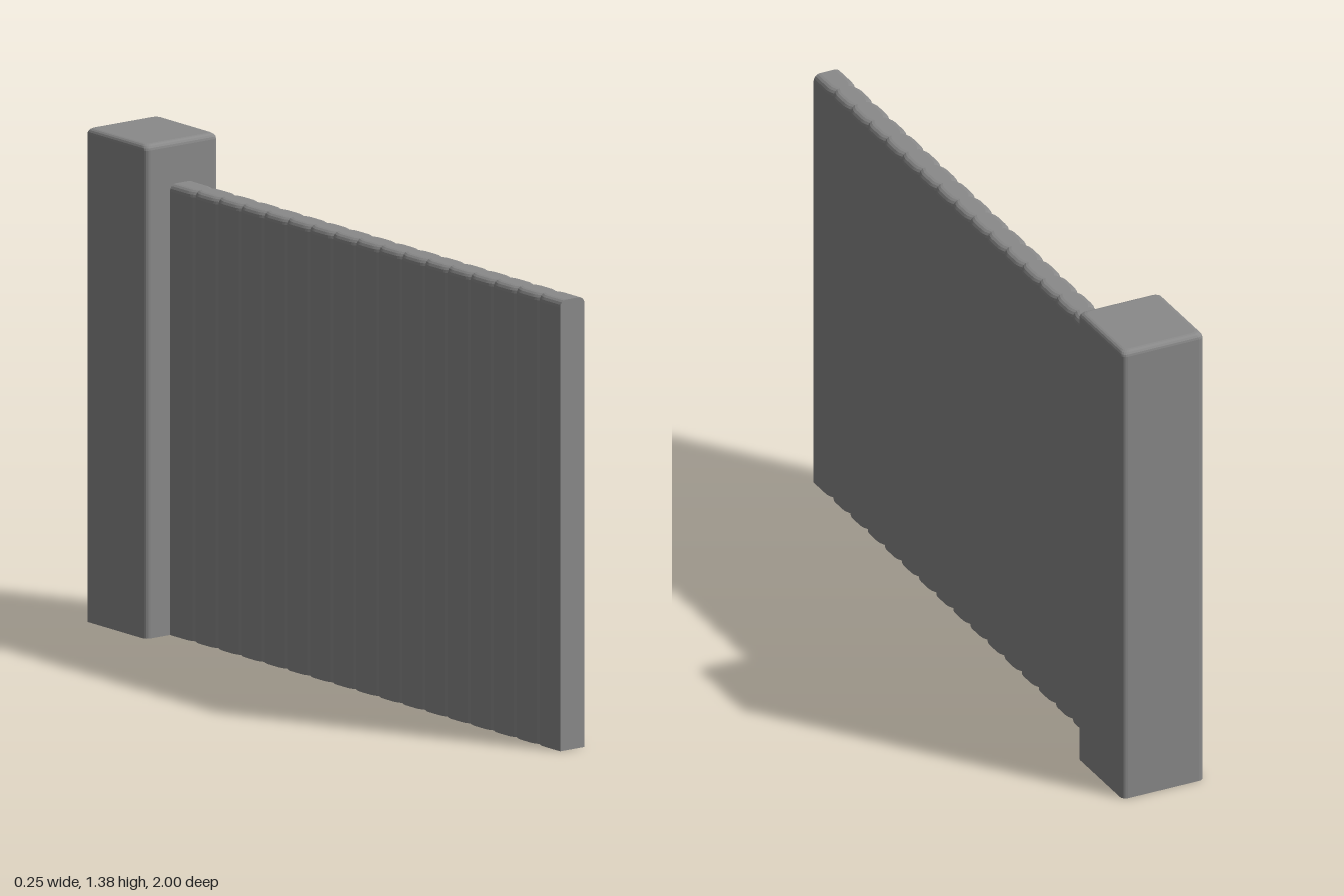
import * as THREE from 'three';

const material = new THREE.MeshStandardMaterial({ color: 0x8a8a8a });

// Raises a plan outline (x, -z) through height levels [y, inset];
// the inset pulls the sides in along x, and along z too if insetEnds is set.
function raisePlan(name, points, levels, insetEnds) {
  const steps = levels.length - 1;
  const geometry = new THREE.ExtrudeGeometry(new THREE.Shape(points), {
    depth: steps, steps, bevelEnabled: false,
  });
  geometry.rotateX(-Math.PI / 2);
  const pos = geometry.attributes.position;
  for (let i = 0; i < pos.count; i++) {
    const [y, inset] = levels[Math.round(pos.getY(i))];
    const x = pos.getX(i), z = pos.getZ(i);
    pos.setXYZ(i, x - Math.sign(x) * inset, y, insetEnds ? z - Math.sign(z) * inset : z);
  }
  // Flat faces meet narrow bevel facets
  geometry.computeVertexNormals();
  const mesh = new THREE.Mesh(geometry, material);
  mesh.name = name;
  return mesh;
}

// Levels for straight sides with a rounded top edge
function roundedTop(height, radius) {
  const levels = [[0, 0]];
  for (let i = 0; i <= 4; i++) {
    const a = (i / 4) * Math.PI / 2;
    levels.push([height - radius + radius * Math.sin(a), radius * (1 - Math.cos(a))]);
  }
  return levels;
}

// Square post with softened upright edges
function makePost() {
  const hx = 0.125, hz = 0.135, r = 0.016, points = [];
  [[1, 1], [-1, 1], [-1, -1], [1, -1]].forEach(([sx, sy], corner) => {
    for (let i = 0; i <= 4; i++) {
      const a = (corner + i / 4) * Math.PI / 2;
      points.push(new THREE.Vector2(
        sx * (hx - r) + r * Math.cos(a), sy * (hz - r) + r * Math.sin(a)));
    }
  });
  const post = raisePlan('post', points, roundedTop(1.38, r), true);
  post.position.z = -0.865;
  return post;
}

// Wall of upright boards, their edges curving in to a shallow groove at every seam
function makeBoardWall() {
  const boards = 17, start = -0.74, end = 1, pitch = 1.73 / boards;
  const half = 0.042, groove = 0.009, curve = 0.03;
  const side = [[half, end]];
  for (let b = 1; b < boards; b++) {
    for (let i = -4; i <= 4; i++) {
      const t = 1 - Math.abs(i) / 4;
      side.push([half - groove * t * t, end - b * pitch - (i / 4) * curve]);
    }
  }
  side.push([half, start]);
  const points = [
    ...side.map(([x, z]) => new THREE.Vector2(x, -z)),
    ...side.reverse().map(([x, z]) => new THREE.Vector2(-x, -z)),
  ];
  return raisePlan('boardWall', points, roundedTop(1.26, 0.02), false);
}

export function createModel() {
  const group = new THREE.Group();
  group.name = 'fenceSection';
  group.add(makePost(), makeBoardWall());
  return group;
}
